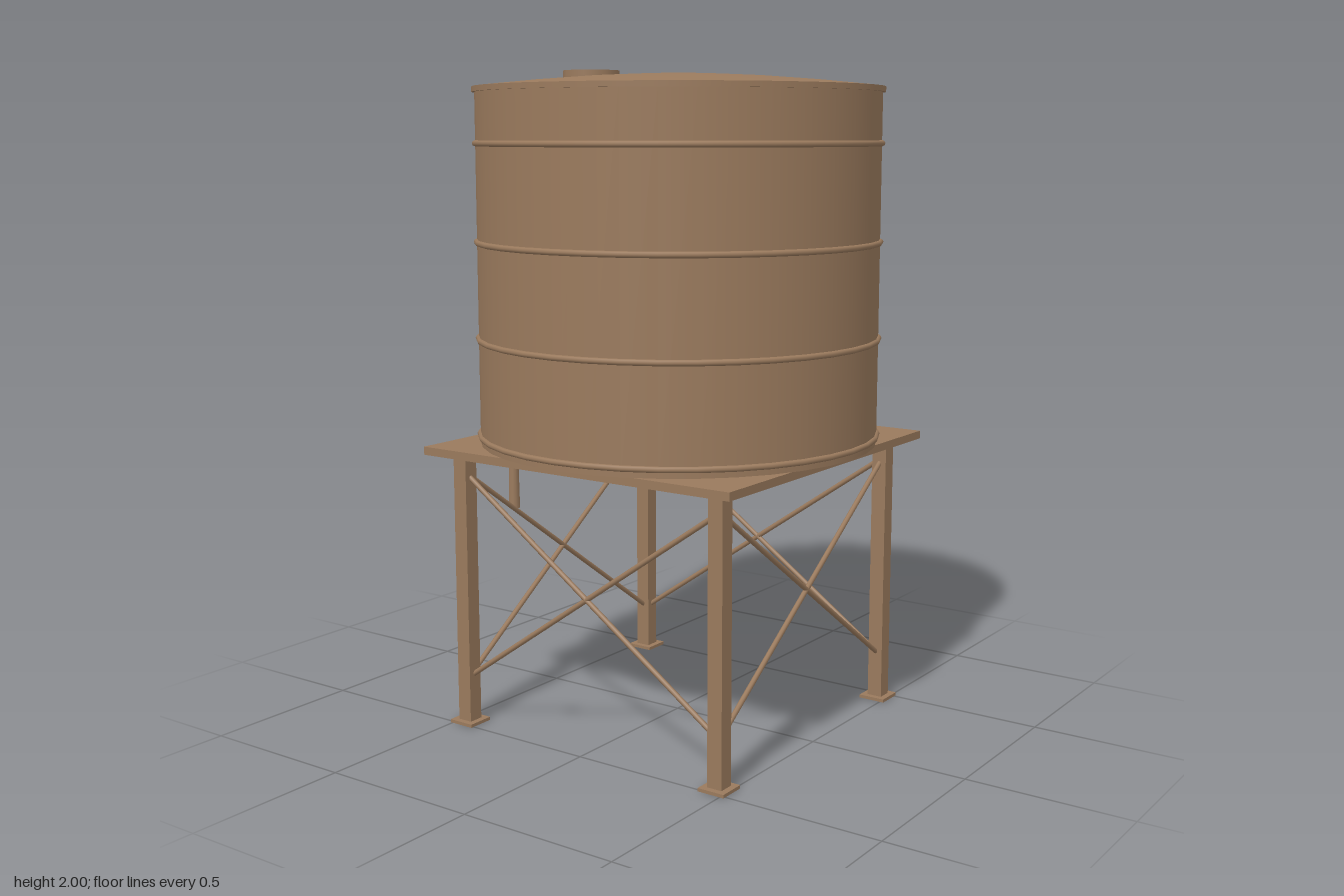
import * as THREE from 'three';

export function createModel() {
  const model = new THREE.Group();
  model.name = 'waterTower';
  const rust = new THREE.MeshStandardMaterial({ color: 0x9a7a5d });
  rust.name = 'weatheredBrown';
  const CX = 0.003;
  const SEG = 36;
  const LEG = 0.467;

  function add(name, geometry, x = 0, y = 0, z = 0) {
    const mesh = new THREE.Mesh(geometry, rust);
    mesh.name = name;
    mesh.position.set(x, y, z);
    model.add(mesh);
    return mesh;
  }

  // Thin round bar between two points
  function rod(name, a, b, radius) {
    const dir = b.clone().sub(a);
    const mid = a.clone().add(b).multiplyScalar(0.5);
    const mesh = add(name, new THREE.CylinderGeometry(radius, radius, dir.length(), 8), mid.x, mid.y, mid.z);
    mesh.quaternion.setFromUnitVectors(new THREE.Vector3(0, 1, 0), dir.normalize());
  }

  // Tank shell and its hoops
  add('tank', new THREE.CylinderGeometry(0.61, 0.61, 1.06, SEG), CX, 1.41, 0);
  for (const y of [0.905, 1.2, 1.492, 1.785]) {
    const hoop = add('hoop', new THREE.TorusGeometry(0.611, 0.009, 8, SEG), CX, y, 0);
    hoop.rotation.x = Math.PI / 2;
  }

  // Shallow domed roof with a short rim
  add('roofRim', new THREE.CylinderGeometry(0.619, 0.619, 0.016, SEG), CX, 1.943, 0);
  const dome = [[0.619, 1.951], [0.45, 1.968], [0.3, 1.98], [0.15, 1.988], [0, 1.991]];
  add('roof', new THREE.LatheGeometry(dome.map(([r, y]) => new THREE.Vector2(r, y)), SEG), CX);
  add('hatch', new THREE.CylinderGeometry(0.085, 0.085, 0.03, 16), -0.215, 1.985, 0.145);

  // Square platform
  add('platform', new THREE.BoxGeometry(1.106, 0.025, 1.106), CX, 0.8655, 0);

  // Legs and foot plates
  for (const sx of [-1, 1]) {
    for (const sz of [-1, 1]) {
      add('leg', new THREE.BoxGeometry(0.048, 0.85, 0.048), CX + sx * LEG, 0.43, sz * LEG);
      add('footPlate', new THREE.BoxGeometry(0.086, 0.01, 0.086), CX + sx * LEG, 0.005, sz * LEG);
    }
  }

  // Crossed braces on all four sides
  for (const side of [-1, 1]) {
    for (const s of [-1, 1]) {
      rod('brace',
        new THREE.Vector3(CX - s * LEG, 0.145, side * LEG),
        new THREE.Vector3(CX + s * LEG, 0.795, side * LEG), 0.008);
      rod('brace',
        new THREE.Vector3(CX + side * LEG, 0.145, -s * LEG),
        new THREE.Vector3(CX + side * LEG, 0.795, s * LEG), 0.008);
    }
  }

  // Outlet: stub from the tank wall, upper pipe and wider drop pipe
  const PZ = 0.072;
  rod('outletStub', new THREE.Vector3(-0.58, 0.935, PZ), new THREE.Vector3(-0.612, 0.935, PZ), 0.014);
  add('outletPipe', new THREE.CylinderGeometry(0.012, 0.015, 0.17, 12), -0.611, 0.865, PZ);
  add('dropPipe', new THREE.CylinderGeometry(0.015, 0.019, 0.21, 12), -0.612, 0.695, PZ);

  return model;
}
